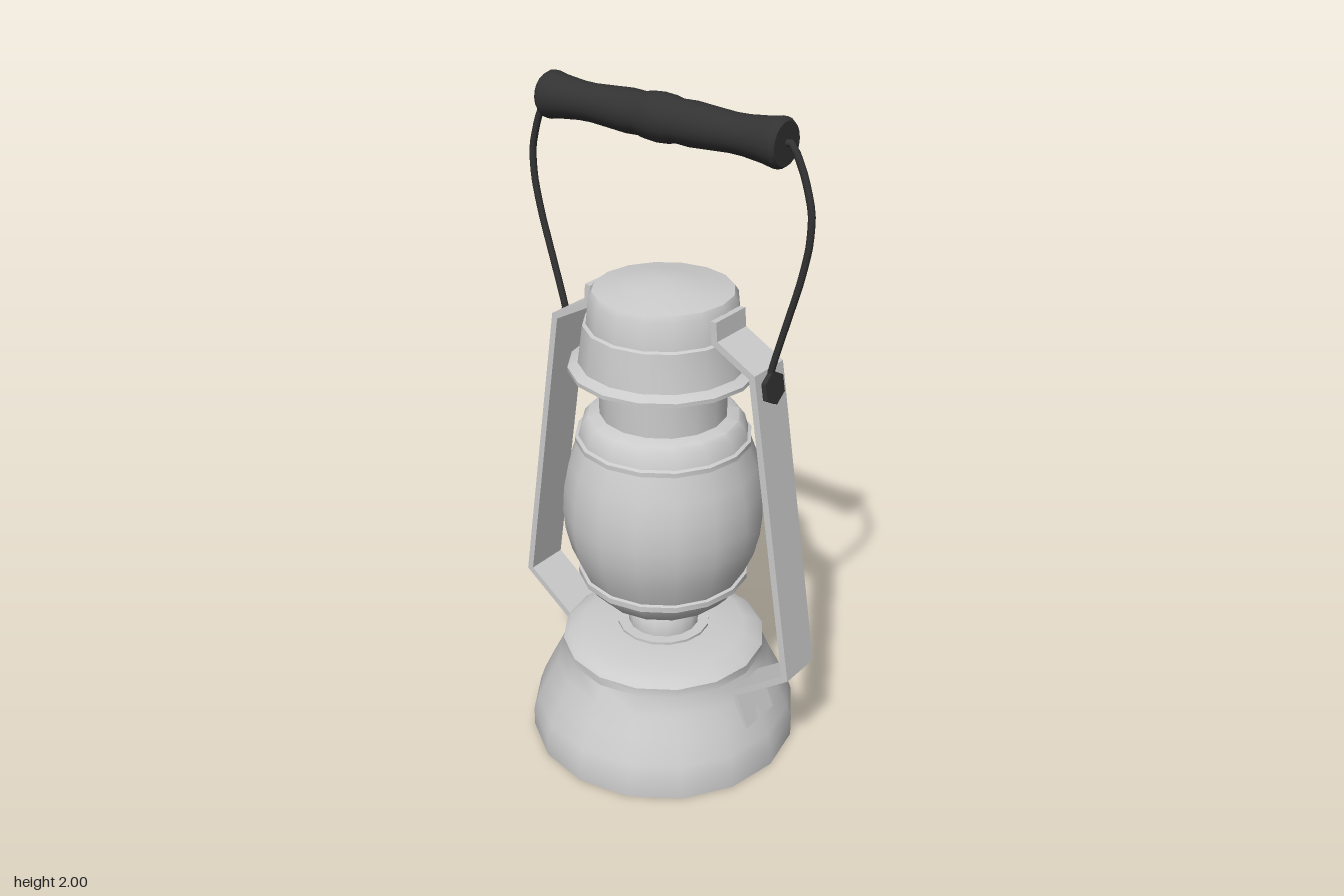
import * as THREE from 'three';
import { toCreasedNormals } from 'three/addons/utils/BufferGeometryUtils.js';

const metal = new THREE.MeshStandardMaterial({ color: 0xcccccc });
const black = new THREE.MeshStandardMaterial({ color: 0x333333 });

const v2 = ([x, y]) => new THREE.Vector2(x, y);

function add(parent, name, geometry, material) {
  const mesh = new THREE.Mesh(geometry, material);
  mesh.name = name;
  parent.add(mesh);
  return mesh;
}

// Turned part from [radius, height] points, listed bottom to top
function turned(profile, sides = 16) {
  return toCreasedNormals(new THREE.LatheGeometry(profile.map(v2), sides), 0.6);
}

// Flat bar of even thickness following an [x, y] path, with mitred bends
function bar(path, thickness, width) {
  const p = path.map(v2);
  const normal = (a, b) => new THREE.Vector2(a.y - b.y, b.x - a.x).normalize();
  const sides = [1, -1].map((s) => p.map((q, i) => {
    const n1 = normal(p[Math.max(i - 1, 0)], p[Math.max(i, 1)]);
    const n2 = normal(p[Math.min(i, p.length - 2)], p[Math.min(i + 1, p.length - 1)]);
    const m = n1.clone().add(n2).normalize();
    return q.clone().addScaledVector(m, (s * thickness) / 2 / m.dot(n1));
  }));
  const shape = new THREE.Shape([...sides[0], ...sides[1].reverse()]);
  return new THREE.ExtrudeGeometry(shape, { depth: width, bevelEnabled: false })
    .translate(0, 0, -width / 2);
}

export function createModel() {
  const lantern = new THREE.Group();
  lantern.name = 'lantern';

  // Fuel tank with stepped lid
  add(lantern, 'tank', turned([
    [0, 0], [0.41, 0], [0.41, 0.06], [0.395, 0.105], [0.36, 0.18], [0.33, 0.24],
    [0.307, 0.295], [0.31, 0.295], [0.31, 0.322], [0.295, 0.335], [0.25, 0.352],
    [0.14, 0.362], [0, 0.362],
  ]), metal);

  // Burner neck
  add(lantern, 'burner', turned([
    [0.14, 0.355], [0.14, 0.37], [0.107, 0.37], [0.107, 0.405], [0.095, 0.43],
    [0.07, 0.44], [0.07, 0.475],
  ]), metal);

  // Globe between its lower cup and upper collar
  add(lantern, 'globeCup', turned([
    [0, 0.458], [0.08, 0.458], [0.15, 0.47], [0.2, 0.492], [0.23, 0.525],
    [0.245, 0.552], [0.256, 0.555], [0.256, 0.572], [0.246, 0.575],
  ]), metal);
  add(lantern, 'globe', turned([
    [0.246, 0.573], [0.275, 0.64], [0.292, 0.71], [0.298, 0.775], [0.293, 0.85],
    [0.278, 0.925], [0.25, 1.002],
  ]), metal);
  add(lantern, 'globeCollar', turned([
    [0.248, 1.0], [0.257, 1.0], [0.257, 1.014], [0.247, 1.018], [0.237, 1.055],
    [0.22, 1.075], [0.185, 1.085],
  ]), metal);

  // Chimney and cap with brim
  add(lantern, 'chimney', turned([[0.185, 1.07], [0.185, 1.23]]), metal);
  add(lantern, 'cap', turned([
    [0, 1.222], [0.272, 1.222], [0.272, 1.234], [0.243, 1.247], [0.228, 1.358],
    [0.218, 1.362], [0.21, 1.44], [0.2, 1.457], [0.1, 1.476], [0, 1.49],
  ]), metal);

  // Side straps with pivots, mirrored by a half turn
  const strap = bar([
    [0.358, 0.155], [0.313, 0.263], [0.488, 0.393], [0.345, 1.308],
    [0.222, 1.375], [0.217, 1.435],
  ], 0.02, 0.135);
  const pivot = toCreasedNormals(new THREE.CylinderGeometry(0.048, 0.048, 0.02, 6), 0.6);
  const wirePath = new THREE.CatmullRomCurve3([
    [0.37, 1.935], [0.402, 1.935], [0.44, 1.86], [0.465, 1.77], [0.462, 1.68],
    [0.438, 1.57], [0.36, 1.3], [0.37, 1.225],
  ].map(([x, y]) => new THREE.Vector3(x, y, 0)), false, 'catmullrom', 0.3);
  const wire = new THREE.TubeGeometry(wirePath, 28, 0.01, 8);

  for (const side of ['left', 'right']) {
    const group = new THREE.Group();
    group.name = side + 'Side';
    if (side === 'right') group.rotation.y = Math.PI;
    add(group, side + 'Strap', strap, metal);
    const hex = add(group, side + 'Pivot', pivot, black);
    hex.position.set(0.367, 1.262, 0);
    hex.rotation.set(0, Math.PI / 2, -Math.PI / 2 + 0.155, 'ZYX');
    add(group, side + 'BailWire', wire, black);
    lantern.add(group);
  }

  // Turned hand grip
  const half = [
    [0.035, 0.392], [0.058, 0.392], [0.066, 0.38], [0.066, 0.365], [0.06, 0.335],
    [0.053, 0.27], [0.052, 0.23], [0.057, 0.15], [0.06, 0.105], [0.058, 0.06],
    [0.063, 0.04],
  ];
  const grip = add(lantern, 'grip', turned([
    [0, -0.392], ...half.map(([r, y]) => [r, -y]), [0.066, 0],
    ...half.slice().reverse(), [0, 0.392],
  ], 20), black);
  grip.rotation.z = -Math.PI / 2;
  grip.position.set(-0.008, 1.934, 0);

  return lantern;
}
